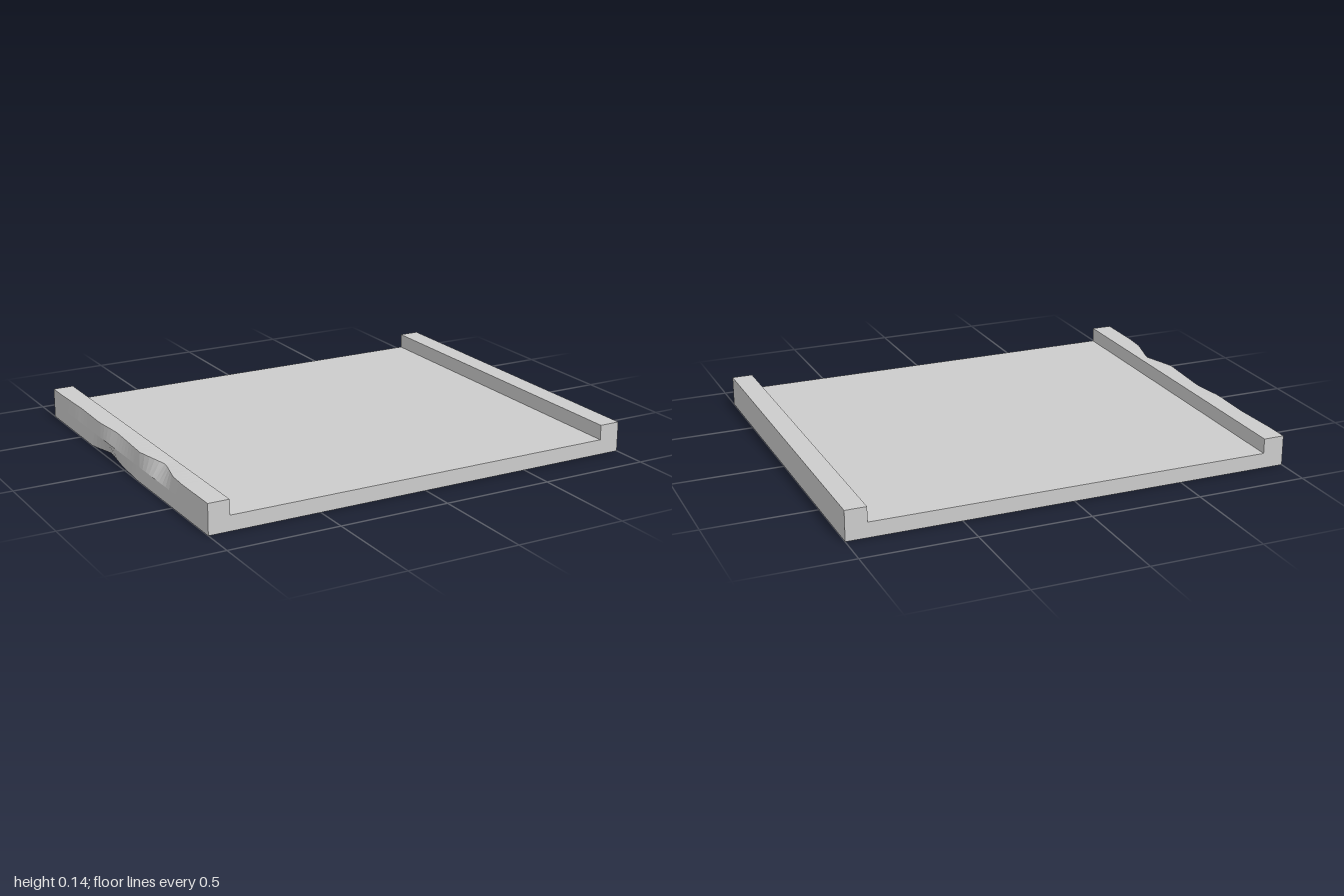
import * as THREE from 'three';

// Piecewise-linear lookup through [z, depth] stations
function depthAt(stations, z) {
  for (let i = 1; i < stations.length; i++) {
    const [z0, d0] = stations[i - 1], [z1, d1] = stations[i];
    if (z >= z0 && z <= z1) return THREE.MathUtils.lerp(d0, d1, (z - z0) / (z1 - z0));
  }
  return 0;
}

export function createModel() {
  const W = 1, D = 0.835, H = 0.135, floorY = 0.068, lipX = 0.905;
  const group = new THREE.Group();
  group.name = 'channelSlab';

  // Shallow channel profile with a raised lip on both sides
  const profile = new THREE.Shape([
    [-W, 0], [W, 0], [W, H], [lipX, H], [lipX, floorY],
    [-lipX, floorY], [-lipX, H], [-W, H], [-W, floorY],
  ].map(([x, y]) => new THREE.Vector2(x, y)));
  const geo = new THREE.ExtrudeGeometry(profile, { depth: 2 * D, steps: 50, bevelEnabled: false });
  geo.translate(0, 0, -D);

  // Chipped outer edge on the -x side: dents along its top and bottom edges
  const topDents = [[-0.72, 0], [-0.5, 0.008], [-0.28, 0.003], [-0.12, 0.02], [0.17, 0.004], [0.34, 0.045], [0.5, 0.006], [0.6, 0]];
  const bottomDents = [[-0.36, 0], [-0.23, 0.035], [-0.05, 0.012], [0.14, 0]];
  const pos = geo.attributes.position;
  for (let i = 0; i < pos.count; i++) {
    if (pos.getX(i) > -W + 1e-4) continue;
    const y = pos.getY(i), z = pos.getZ(i);
    if (y > H - 1e-4) {
      const d = depthAt(topDents, z);
      pos.setXYZ(i, -W + d, y - d * 0.12, z);
    } else if (y < 1e-4) {
      pos.setX(i, -W + depthAt(bottomDents, z));
    }
  }
  geo.computeVertexNormals();

  const slab = new THREE.Mesh(geo, new THREE.MeshStandardMaterial({ color: 0xcccccc, flatShading: true }));
  slab.name = 'slabWithLips';
  group.add(slab);
  return group;
}
